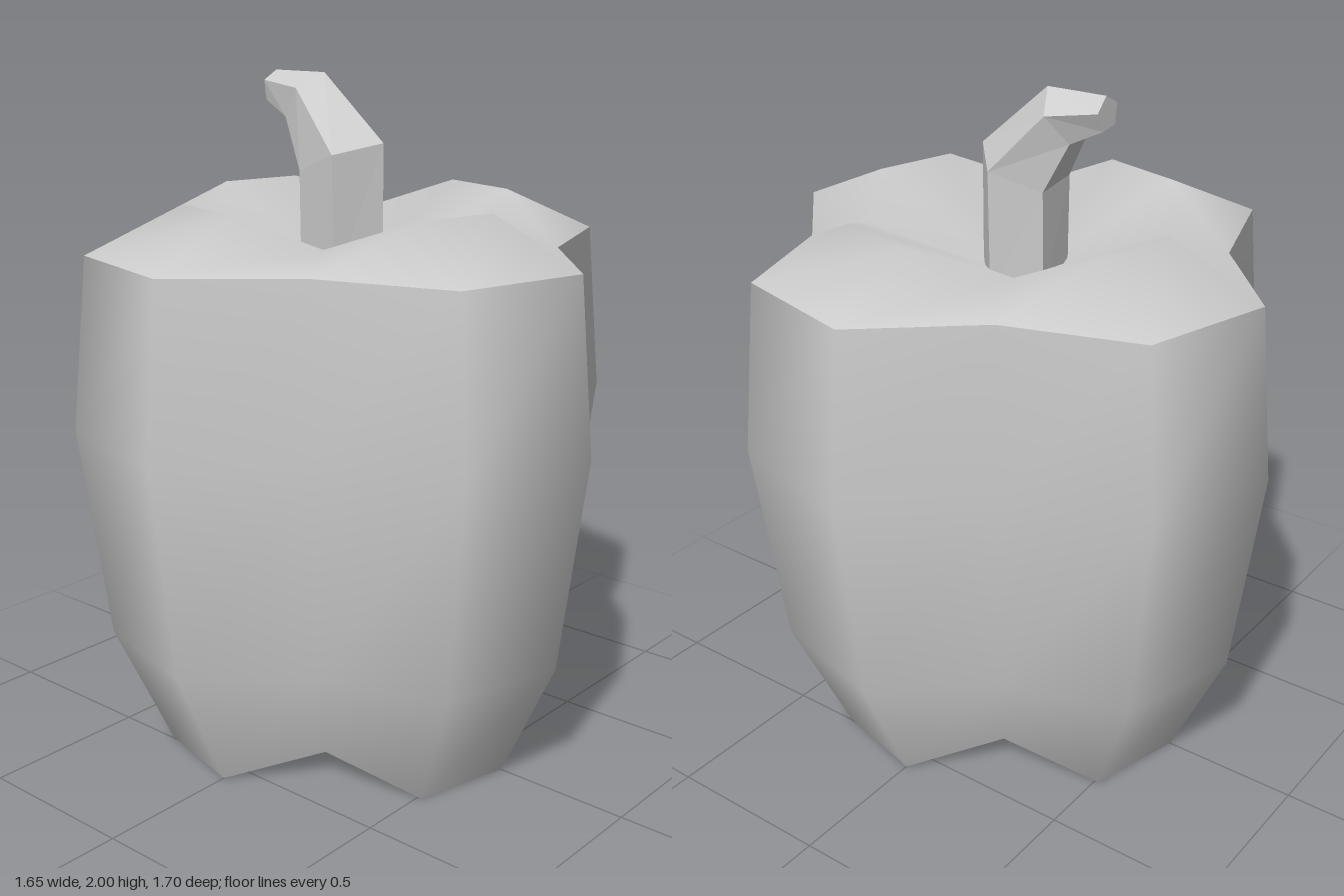
import * as THREE from 'three';

const material = new THREE.MeshStandardMaterial({ color: 0xcccccc });
const flatMaterial = new THREE.MeshStandardMaterial({ color: 0xcccccc, flatShading: true });

// Skin a stack of closed rings (bottom to top); a ring of one point closes the end as a fan.
function loft(name, rings, sides, flat) {
  const positions = rings.flat(2);
  const index = [];
  let start = 0;
  for (let i = 0; i < rings.length - 1; i++) {
    const n = rings[i].length, m = rings[i + 1].length, next = start + n;
    for (let j = 0; j < sides; j++) {
      const a = start + (j % n), b = start + ((j + 1) % n);
      const c = next + (j % m), d = next + ((j + 1) % m);
      if (n > 1) index.push(a, c, b);
      if (m > 1) index.push(b, c, d);
    }
    start = next;
  }
  let geometry = new THREE.BufferGeometry();
  geometry.setAttribute('position', new THREE.Float32BufferAttribute(positions, 3));
  geometry.setIndex(index);
  if (flat) geometry = geometry.toNonIndexed();
  geometry.computeVertexNormals();
  const mesh = new THREE.Mesh(geometry, flat ? flatMaterial : material);
  mesh.name = name;
  return mesh;
}

// Four-lobed ring: every third corner is a groove with its own radius and height.
function lobedRing(lobeRadius, lobeY, grooveRadius, grooveY = lobeY) {
  return Array.from({ length: 12 }, (_, i) => {
    const groove = i % 3 === 2;
    const r = groove ? grooveRadius : lobeRadius;
    const a = (i * Math.PI) / 6;
    return [0.97 * r * Math.cos(a), groove ? grooveY : lobeY, r * Math.sin(a)];
  });
}

// Five-sided stem ring, leaning back by the given tilt.
function stemRing(r, y, z, tiltDegrees) {
  const t = THREE.MathUtils.degToRad(tiltDegrees);
  return Array.from({ length: 5 }, (_, i) => {
    const a = THREE.MathUtils.degToRad(82 + i * 72);
    return [r * Math.cos(a), y + r * Math.sin(a) * Math.sin(t), z + r * Math.sin(a) * Math.cos(t)];
  });
}

export function createModel() {
  const model = new THREE.Group();
  model.name = 'bellPepper';

  const foot = lobedRing(0.59, 0, 0.44, 0.08);
  const rim = lobedRing(0.8, 1.52, 0.61);

  // Bulging side walls
  model.add(loft('walls', [
    foot,
    lobedRing(0.765, 0.38, 0.58),
    lobedRing(0.85, 1.02, 0.64),
    rim,
  ], 12, false));

  // Shoulders rising from the rim, then dipping to the stem
  model.add(loft('shoulders', [
    rim,
    lobedRing(0.51, 1.65, 0.43, 1.565),
    [[0, 1.42, 0]],
  ], 12, false));

  // Faceted underside
  model.add(loft('underside', [[[0, 0, 0]], foot], 12, true));

  // Bent, tapering stem
  model.add(loft('stem', [
    stemRing(0.13, 1.4, -0.02, 0),
    stemRing(0.138, 1.76, -0.02, 21),
    stemRing(0.09, 1.925, -0.16, 56),
    stemRing(0.05, 1.95, -0.298, 88),
    [[0, 1.95, -0.298]],
  ], 5, true));

  return model;
}
